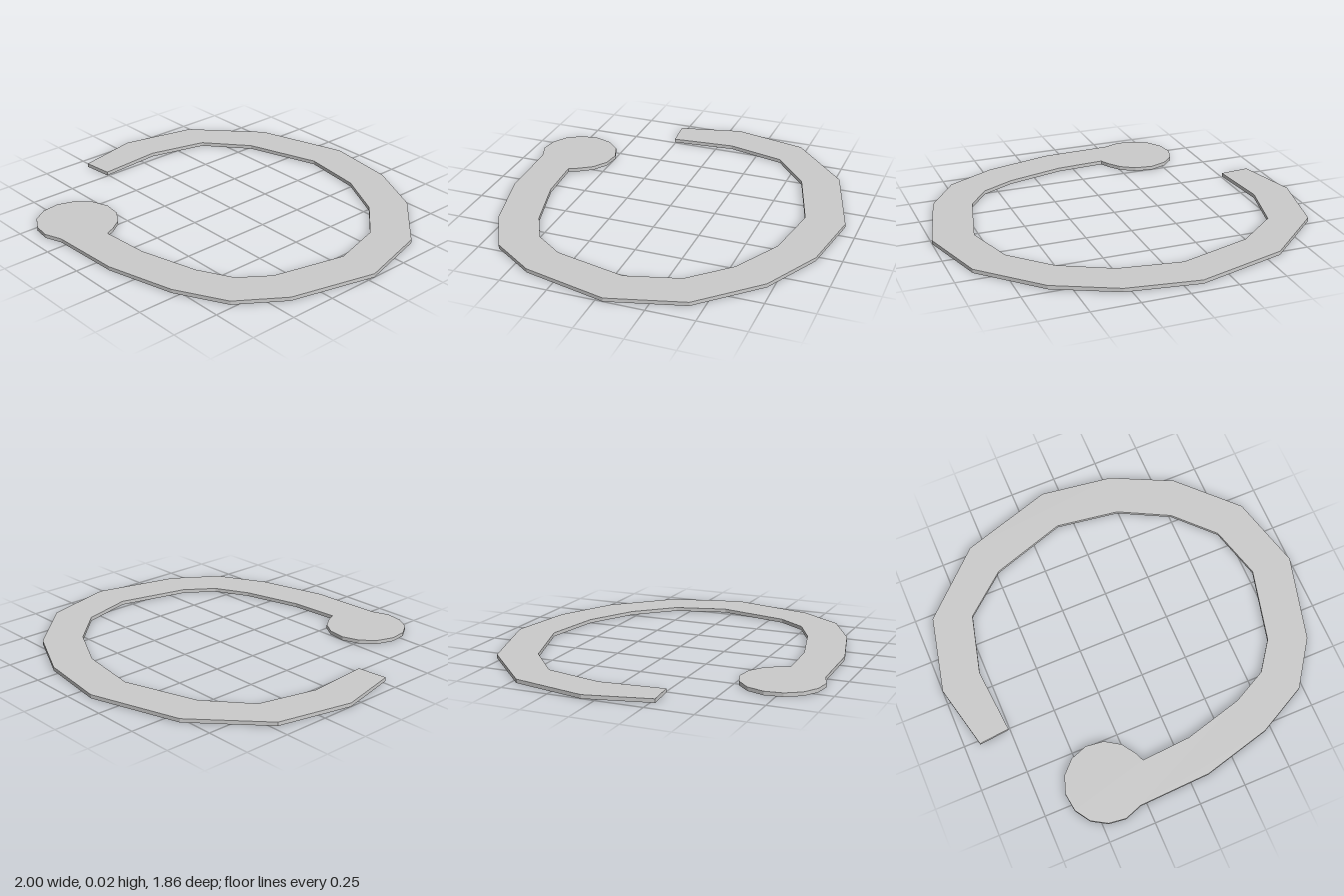
import * as THREE from 'three';

const THICKNESS = 0.02;

// Plan points are [x, z]
const outerEdge = [
  [-0.92, 0.272], [-1, -0.07], [-0.91, -0.47], [-0.58, -0.78], [-0.095, -0.93],
  [0.29, -0.875], [0.61, -0.72], [0.893, -0.43], [1, -0.04], [0.888, 0.41],
  [0.727, 0.645], [0.465, 0.783], [0.1, 0.877], [-0.285, 0.892],
];
const roundTip = [
  [-0.378, 0.925], [-0.47, 0.913], [-0.55, 0.865], [-0.602, 0.785], [-0.614, 0.69],
  [-0.583, 0.598], [-0.515, 0.53], [-0.425, 0.498], [-0.328, 0.51], [-0.25, 0.56],
  [-0.202, 0.63], [-0.18, 0.68],
];
const innerEdge = [
  [0.085, 0.663], [0.4, 0.58], [0.58, 0.487], [0.69, 0.335], [0.782, -0.05],
  [0.703, -0.33], [0.51, -0.53], [0.245, -0.667], [-0.09, -0.717], [-0.485, -0.59],
  [-0.708, -0.402], [-0.786, -0.09], [-0.757, 0.256],
];

export function createModel() {
  const group = new THREE.Group();
  group.name = 'openRing';

  // Flat open band ending in a round tip, laid on the ground
  const outline = [...outerEdge, ...roundTip, ...innerEdge];
  const shape = new THREE.Shape(outline.map(([x, z]) => new THREE.Vector2(x, -z)));
  const geometry = new THREE.ExtrudeGeometry(shape, { depth: THICKNESS, bevelEnabled: false });
  geometry.rotateX(-Math.PI / 2);

  const band = new THREE.Mesh(
    geometry,
    new THREE.MeshStandardMaterial({ color: 0xcccccc, flatShading: true }),
  );
  band.name = 'bandWithRoundTip';
  group.add(band);
  return group;
}
